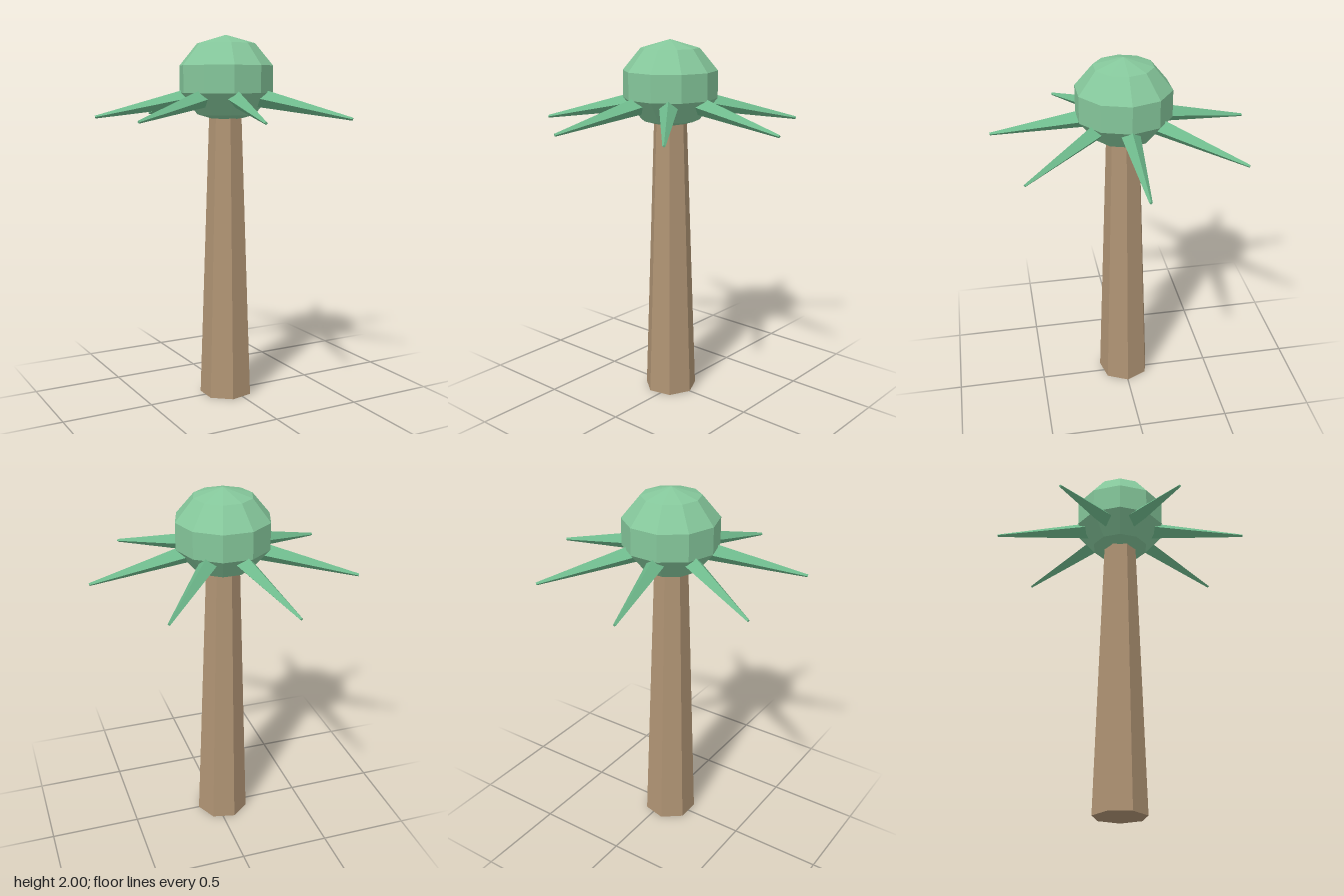
import * as THREE from 'three';

const CENTRE_X = -0.034;
const FRONDS = 7;

function createMesh(name, geometry, color) {
  const material = new THREE.MeshStandardMaterial({ color, flatShading: true });
  const mesh = new THREE.Mesh(geometry, material);
  mesh.name = name;
  return mesh;
}

export function createModel() {
  const tree = new THREE.Group();
  tree.name = 'palmTree';

  // Tapered seven-sided trunk, one corner towards +x
  const trunkHeight = 1.7;
  const trunk = createMesh('trunk', new THREE.CylinderGeometry(0.087, 0.147, trunkHeight, 7), 0xb09474);
  trunk.rotation.y = Math.PI / 2;
  trunk.position.set(CENTRE_X, trunkHeight / 2, 0);
  tree.add(trunk);

  // Faceted, slightly squashed crown
  const crown = createMesh('crown', new THREE.SphereGeometry(0.268, 10, 5), 0x85c79b);
  crown.scale.y = 0.877;
  crown.position.set(CENTRE_X, 1.765, 0);
  tree.add(crown);

  // Ring of drooping four-sided fronds with blunt tips
  const length = 0.6;
  const droop = 0.2;
  const frondGeometry = new THREE.CylinderGeometry(0.008, 0.056, length, 4);
  frondGeometry.translate(0, length / 2, 0);
  frondGeometry.rotateZ(-Math.PI / 2 - droop);
  frondGeometry.translate(0.121, 1.681, 0);

  const fronds = new THREE.Group();
  fronds.name = 'fronds';
  fronds.position.x = CENTRE_X;
  for (let i = 0; i < FRONDS; i++) {
    const frond = createMesh('frond', frondGeometry, 0x6fbb8d);
    frond.rotation.y = (i / FRONDS) * Math.PI * 2;
    fronds.add(frond);
  }
  tree.add(fronds);

  return tree;
}
